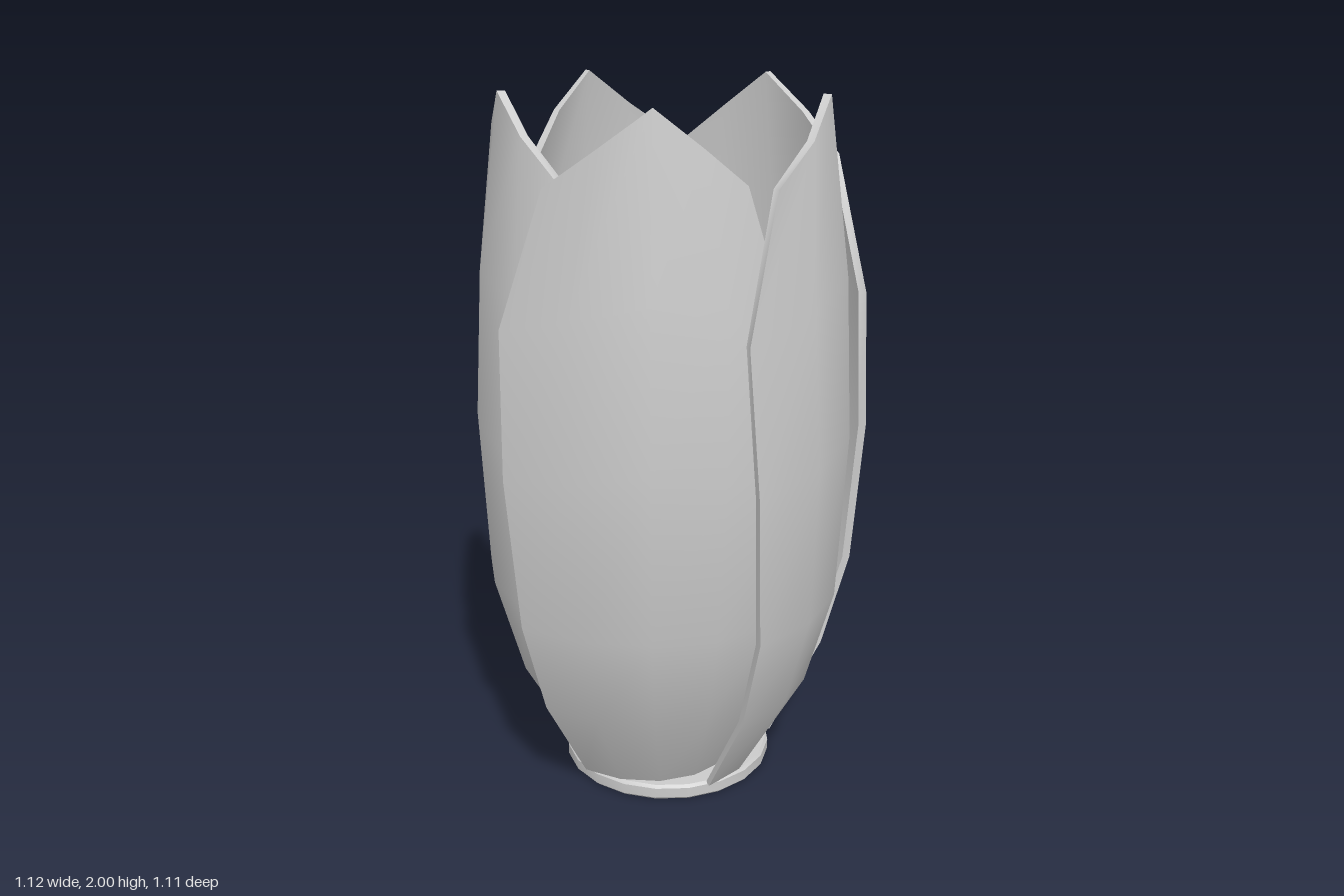
import * as THREE from 'three';
import { toCreasedNormals } from 'three/addons/utils/BufferGeometryUtils.js';

const deg = Math.PI / 180;
const THICK = 0.022;   // petal thickness
const SPIRAL = 0.042;  // left edge leans out, right edge tucks in
const COLS = 4;

// petal rows: [height at centre, drop at the edges, centre radius, half angle]
const ROWS = [
  [0.04, 0, 0.275, 45],
  [0.32, 0, 0.432, 41.5],
  [0.61, 0.01, 0.512, 41],
  [1.09, 0.06, 0.537, 43.5],
  [1.53, 0.1, 0.515, 46],
  [2.0, 0.2, 0.452, 34],
];

// Closed shell: outer skin, inner skin and a rim joining them
function petalGeometry() {
  const pos = [], index = [];
  const n = COLS + 1, layer = n * ROWS.length;
  for (const inset of [0, THICK]) {
    for (const [y, drop, radius, half] of ROWS) {
      for (let i = 0; i < n; i++) {
        const t = (i / COLS) * 2 - 1;
        const a = t * half * deg;
        const r = radius - SPIRAL * t - inset;
        pos.push(r * Math.sin(a), y - drop * Math.abs(t), r * Math.cos(a));
      }
    }
  }
  const quad = (a, b, c, d) => index.push(a, b, c, a, c, d);
  const at = (i, j) => j * n + i;
  const top = ROWS.length - 1;
  for (let j = 0; j < top; j++) {
    for (let i = 0; i < COLS; i++) {
      const q = [at(i, j), at(i + 1, j), at(i + 1, j + 1), at(i, j + 1)];
      quad(...q);
      quad(...q.reverse().map((k) => k + layer));
    }
  }
  const rim = (p, q) => quad(p, p + layer, q + layer, q);
  for (let i = 0; i < COLS; i++) {
    rim(at(i, 0), at(i + 1, 0));
    rim(at(i + 1, top), at(i, top));
  }
  for (let j = 0; j < top; j++) {
    rim(at(COLS, j), at(COLS, j + 1));
    rim(at(0, j + 1), at(0, j));
  }
  const g = new THREE.BufferGeometry();
  g.setAttribute('position', new THREE.Float32BufferAttribute(pos, 3));
  g.setIndex(index);
  return toCreasedNormals(g, 40 * deg);
}

export function createModel() {
  const model = new THREE.Group();
  model.name = 'tulipCup';
  const material = new THREE.MeshStandardMaterial({ color: 0xcccccc });

  // Flat round foot with softened rims
  const profile = [[0, 0], [0.3, 0], [0.308, 0.008], [0.308, 0.038], [0.3, 0.046], [0, 0.046]]
    .map(([x, y]) => new THREE.Vector2(x, y));
  const base = new THREE.Mesh(toCreasedNormals(new THREE.LatheGeometry(profile, 20), 30 * deg), material);
  base.name = 'base';
  model.add(base);

  // Five overlapping petals in a pinwheel
  const geometry = petalGeometry();
  for (let k = 0; k < 5; k++) {
    const petal = new THREE.Mesh(geometry, material);
    petal.name = `petal${k + 1}`;
    petal.rotation.y = (1.8 + 72 * k) * deg;
    model.add(petal);
  }

  // Centre the uneven outline on the origin
  model.position.set(-0.014, 0, 0.027);
  return model;
}
